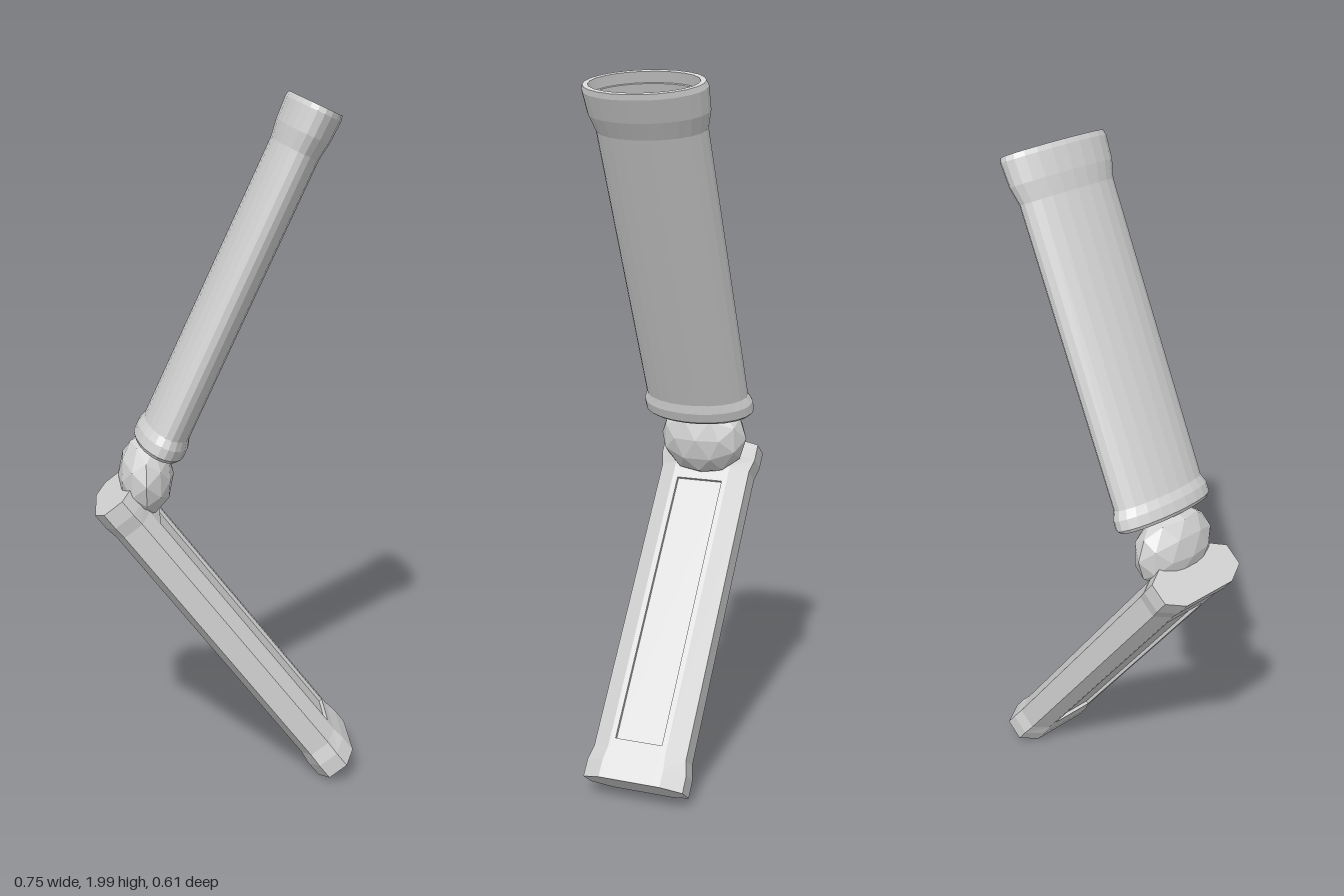
import * as THREE from 'three';

// Faceted skin over closed rings of [x, z] points, stacked along y, capped at both ends
function loft(rings) {
  const pos = [];
  const n = rings[0].pts.length;
  const at = (i, j) => { const [x, z] = rings[i].pts[j % n]; return [x, rings[i].y, z]; };
  const last = rings.length - 1;
  for (let j = 0; j < n; j++) {
    for (let i = 0; i < last; i++) {
      const a = at(i, j), b = at(i, j + 1), c = at(i + 1, j), d = at(i + 1, j + 1);
      pos.push(...a, ...c, ...b, ...b, ...c, ...d);
    }
    pos.push(0, rings[0].y, 0, ...at(0, j), ...at(0, j + 1));
    pos.push(0, rings[last].y, 0, ...at(last, j + 1), ...at(last, j));
  }
  const g = new THREE.BufferGeometry();
  g.setAttribute('position', new THREE.Float32BufferAttribute(pos, 3));
  g.computeVertexNormals();
  return g;
}

// Oval ring, wide in z and thin in x
function oval(y, wide, thin, sides = 24) {
  const pts = [];
  for (let i = 0; i < sides; i++) {
    const t = ((i + 0.5) / sides) * Math.PI * 2;
    pts.push([thin * Math.cos(t), wide * Math.sin(t)]);
  }
  return { y, pts };
}

// Chamfered ring with an optional recess of the given depth in both broad faces
function chamfered(y, grow, depth = 0) {
  const m = 0.06 + grow * 0.5, f = 0.086 + grow * 0.5, w = 0.139 + grow, e = 0.032, p = 0.07;
  const half = [[m, -f], [m, -p], [m - depth, -p], [m - depth, p], [m, p], [m, f], [e, w], [-e, w]];
  return { y, pts: [...half, ...half.map(([x, z]) => [-x, -z])] };
}

export function createModel() {
  const grey = new THREE.MeshStandardMaterial({ color: 0xd2d2d2 });
  grey.name = 'lightGrey';
  const group = new THREE.Group();
  group.name = 'jointedArm';

  const add = (name, geometry, x, y, tilt) => {
    const mesh = new THREE.Mesh(geometry, grey);
    mesh.name = name;
    mesh.position.set(x, y, 0);
    mesh.rotation.z = tilt;
    group.add(mesh);
  };

  // Upper sleeve: collar, body, flared mouth, then the stepped hollow inside
  add('upperSleeve', loft([
    oval(0, 0.158, 0.07), oval(0.01, 0.168, 0.078), oval(0.04, 0.168, 0.078),
    oval(0.065, 0.157, 0.07), oval(0.91, 0.157, 0.07), oval(0.96, 0.171, 0.077),
    oval(1.025, 0.175, 0.08), oval(1.04, 0.17, 0.077), oval(1.04, 0.155, 0.066),
    oval(1.01, 0.152, 0.063), oval(1.01, 0.144, 0.057), oval(0.97, 0.14, 0.054),
    oval(0.97, 0.132, 0.048), oval(0.7, 0.132, 0.048),
  ]), -0.195, 1.018, -0.431);

  // Faceted elbow ball
  const ball = new THREE.IcosahedronGeometry(1, 1);
  ball.scale(0.08, 0.118, 0.134);
  ball.computeVertexNormals();
  add('elbowBall', ball, -0.23, 0.932, 0);

  // Lower bar: flared ends and a recessed panel on both broad faces
  const length = 1.06, flare = 0.01, recess = 0.01;
  add('lowerBar', loft([
    chamfered(0, flare), chamfered(0.05, flare), chamfered(0.09, 0),
    chamfered(0.115, 0), chamfered(0.115, 0, recess),
    chamfered(length - 0.14, 0, recess), chamfered(length - 0.14, 0),
    chamfered(length - 0.09, 0), chamfered(length - 0.05, flare), chamfered(length, flare),
  ]), 0.323, 0.04, 0.656);

  // The arm bends in an upright plane turned 30 degrees from the front
  group.rotation.y = Math.PI / 6;
  const root = new THREE.Group();
  root.name = 'model';
  root.add(group);
  return root;
}
